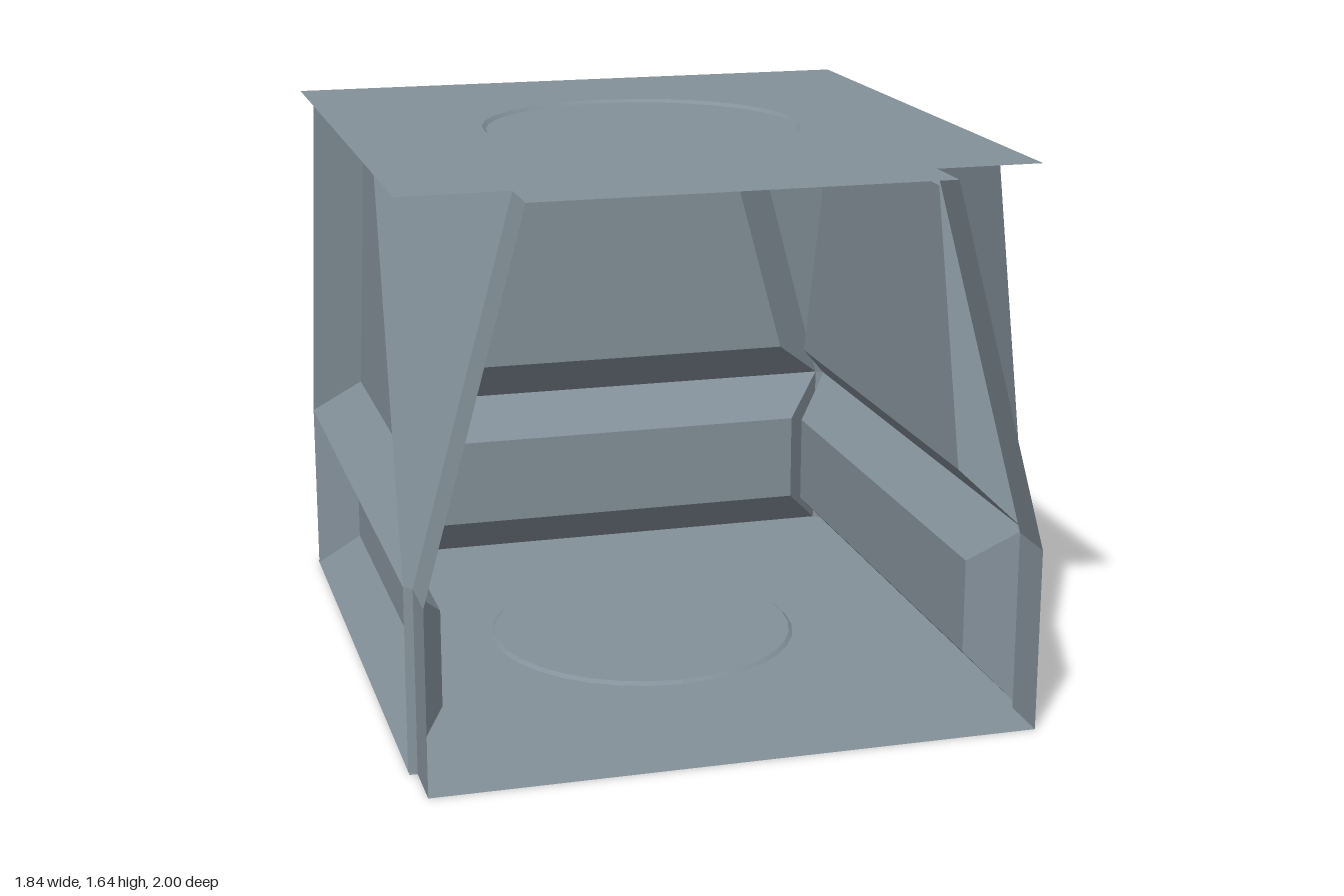
import * as THREE from 'three';

const R = 0.918;              // centre to wall plane
const H = 1.64, BELT = 0.55;  // full height, belt line height
const LOW = 0.895, TOP = 0.6; // half widths of a wall at the belt and at the roof
const CZ = -0.082;            // room centre along z
const FRONT = 1 - CZ;         // door frame front edge, in room space

// Flat-shaded mesh from four-cornered faces
function faces(name, quads, material) {
  const pos = [];
  for (const [a, b, c, d] of quads) pos.push(...a, ...b, ...c, ...a, ...c, ...d);
  const geo = new THREE.BufferGeometry();
  geo.setAttribute('position', new THREE.Float32BufferAttribute(pos, 3));
  geo.computeVertexNormals();
  const mesh = new THREE.Mesh(geo, material);
  mesh.name = name;
  return mesh;
}

// Trapezoid panel sunk into the wall, with sloping borders
function sunkPanel(name, outer, inner, depth, material) {
  const ring = ([y0, w0, y1, w1], z) => [[-w0, y0, z], [w0, y0, z], [w1, y1, z], [-w1, y1, z]];
  const o = ring(outer, R), n = ring(inner, R - depth);
  const quads = [n];
  for (let i = 0; i < 4; i++) {
    const j = (i + 1) % 4;
    quads.push([o[i], o[j], n[j], n[i]]);
  }
  return faces(name, quads, material);
}

// Floor or roof sheet with a doorway tongue and a shallow round recess
function slab(name, tongue, up, material) {
  const group = new THREE.Group();
  group.name = name;
  const s = up ? -1 : 1; // shape y to room z
  const r = 0.486, rIn = 0.474, depth = 0.01;
  const pts = [[-R, -R], [R, -R], [R, R], [tongue, R], [tongue, FRONT], [-tongue, FRONT], [-tongue, R], [-R, R]];
  const shape = new THREE.Shape(pts.map(([x, z]) => new THREE.Vector2(x, s * z)));
  const hole = new THREE.Path();
  hole.absarc(0, 0, r, 0, Math.PI * 2, true);
  shape.holes.push(hole);
  const add = (part, geo, y) => {
    const mesh = new THREE.Mesh(geo, material);
    mesh.name = part;
    mesh.position.y = y;
    group.add(mesh);
  };
  const tilt = s * Math.PI / 2;
  add(name + 'Sheet', new THREE.ShapeGeometry(shape, 16).rotateX(tilt), 0);
  add(name + 'RecessDisc', new THREE.CircleGeometry(rIn, 32).rotateX(tilt), s * depth);
  // Rim is turned inside out so that it faces the recess
  const rim = new THREE.CylinderGeometry(up ? r : rIn, up ? rIn : r, depth, 32, 1, true);
  const idx = rim.index.array;
  for (let i = 0; i < idx.length; i += 3) [idx[i], idx[i + 1]] = [idx[i + 1], idx[i]];
  rim.computeVertexNormals();
  add(name + 'RecessRim', rim, s * depth / 2);
  return group;
}

export function createModel() {
  const model = new THREE.Group();
  model.name = 'roomModule';
  const grey = new THREE.MeshStandardMaterial({ color: 0x84919a, side: THREE.DoubleSide });
  grey.name = 'blueGrey';

  const room = new THREE.Group();
  room.name = 'room';
  room.position.z = CZ;
  model.add(room);

  // Floor and roof
  room.add(slab('floor', LOW, false, grey));
  const roof = slab('roof', TOP, true, grey);
  roof.position.y = H;
  room.add(roof);

  for (let k = 0; k < 4; k++) {
    const side = new THREE.Group();
    side.name = ['frontSide', 'leftSide', 'backSide', 'rightSide'][k];
    side.rotation.y = k * Math.PI / 2;
    room.add(side);

    // Chamfered corner: narrow strip below, widening facet above
    side.add(faces('corner', [
      [[LOW, 0, R], [R, 0, LOW], [R, BELT, LOW], [LOW, BELT, R]],
      [[LOW, BELT, R], [R, BELT, LOW], [R, H, TOP], [TOP, H, R]],
    ], grey));

    // Three closed walls; the front stays open
    if (k > 0) {
      side.add(sunkPanel('lowerPanel', [0, LOW, BELT, LOW], [0.13, 0.765, 0.42, 0.765], 0.125, grey));
      side.add(sunkPanel('upperPanel', [BELT, LOW, H, TOP], [0.69, 0.715, 1.503, 0.492], 0.138, grey));
    }
  }

  // Doorway jambs running forward from the open front
  for (const s of [1, -1]) {
    const strip = (x0, y0, x1, y1) => {
      const q = [[s * x0, y0, FRONT], [s * x0, y0, R], [s * x1, y1, R], [s * x1, y1, FRONT]];
      return s > 0 ? q : q.reverse();
    };
    room.add(faces(s > 0 ? 'leftJamb' : 'rightJamb',
      [strip(LOW, 0, LOW, BELT), strip(LOW, BELT, TOP, H)], grey));
  }
  return model;
}
